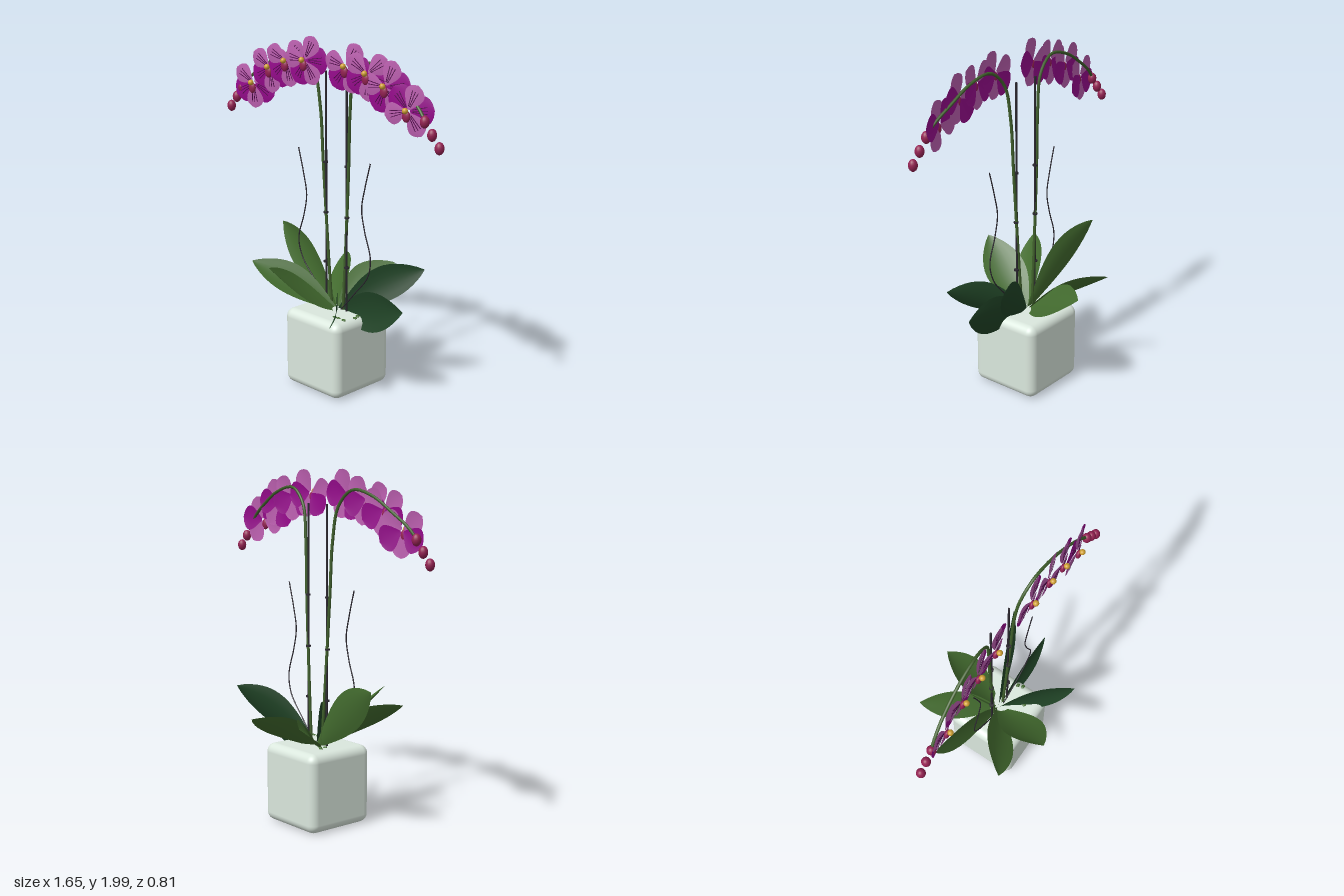
import * as THREE from 'three';
import { RoundedBoxGeometry } from 'three/addons/geometries/RoundedBoxGeometry.js';

const mat = (name, color, double = false) => {
  const m = new THREE.MeshStandardMaterial({ color });
  m.name = name;
  if (double) m.side = THREE.DoubleSide;
  return m;
};
const V = (x, y, z) => new THREE.Vector3(x, y, z);

// Curved blade: rows follow centre(u), spread along side, with edges bent along normal
function bladeGeometry(centre, side, normal, halfWidth, fold, rows = 16, cols = 6) {
  const pos = [], index = [];
  for (let i = 0; i <= rows; i++) {
    const u = i / rows, c = centre(u), w = halfWidth(u);
    for (let j = 0; j <= cols; j++) {
      const v = (j / cols) * 2 - 1;
      const p = c.clone().addScaledVector(side, v * w).addScaledVector(normal, fold * w * v * v);
      pos.push(p.x, p.y, p.z);
      if (i < rows && j < cols) {
        const a = i * (cols + 1) + j, b = a + cols + 1;
        index.push(a, b, a + 1, a + 1, b, b + 1);
      }
    }
  }
  const g = new THREE.BufferGeometry();
  g.setAttribute('position', new THREE.Float32BufferAttribute(pos, 3));
  g.setIndex(index);
  g.computeVertexNormals();
  return g;
}

export function createModel() {
  const root = new THREE.Group();
  root.name = 'pottedOrchid';
  const M = {
    pot: mat('pale celadon', 0xdae7dd),
    leaf: mat('olive green', 0x426a2e, true),
    deepLeaf: mat('deep green', 0x1f4225, true),
    stem: mat('stem green', 0x3f5f2b),
    stake: mat('dark stake', 0x2c2830),
    light: mat('orchid pink', 0xba5eae, true),
    dark: mat('deep purple', 0x960a8c, true),
    vein: mat('vein purple', 0x4f0a4a),
    lip: mat('crimson', 0x952253),
    gold: mat('gold', 0xcfa032),
  };
  const add = (parent, name, geo, material, x = 0, y = 0, z = 0) => {
    const m = new THREE.Mesh(geo, material);
    m.name = name;
    m.position.set(x, y, z);
    parent.add(m);
    return m;
  };
  const tube = (name, pts, radius, material) => add(root, name,
    new THREE.TubeGeometry(new THREE.CatmullRomCurve3(pts.map(p => V(...p))), 60, radius, 8), material);
  const ball = new THREE.SphereGeometry(1, 16, 12);

  // Pot
  add(root, 'pot', new RoundedBoxGeometry(0.43, 0.45, 0.43, 5, 0.05), M.pot, 0, 0.225, 0.005);

  // Moss tufts on the pot
  [[-0.11, -0.06], [-0.08, -0.04], [-0.1, -0.02], [0.1, 0.12], [0.13, 0.12], [0.17, 0.12], [0.19, 0.05], [0.18, 0.02]]
    .forEach(([x, z]) => add(root, 'moss', ball, M.leaf, x, 0.45, z).scale.set(0.014, 0.006, 0.01));

  // Leaves: tip x, y, z, half width, roll in degrees, arch, material
  const up = V(0, 1, 0), base = V(0, 0.43, 0);
  [
    [0.06, 0.64, -0.41, 0.12, -30, 0.01, M.leaf],
    [-0.29, 0.64, -0.36, 0.085, 45, 0.02, M.leaf],
    [0.47, 0.74, -0.21, 0.095, -80, 0.03, M.deepLeaf],
    [-0.53, 0.84, -0.07, 0.105, 84, 0.03, M.leaf],
    [-0.41, 0.7, 0.28, 0.095, 40, 0.02, M.leaf],
    [-0.13, 0.75, 0.4, 0.115, 20, -0.02, M.leaf],
    [0.32, 0.56, 0.33, 0.095, -78, 0.02, M.deepLeaf],
    [0.5, 0.55, 0, 0.11, -84, 0.0, M.deepLeaf],
  ].forEach(([x, y, z, w, roll, arch, m]) => {
    const tip = V(x, y, z), axis = tip.clone().sub(base).normalize();
    const level = axis.clone().cross(up).normalize(), rise = level.clone().cross(axis);
    const r = roll * Math.PI / 180;
    const side = level.clone().multiplyScalar(Math.cos(r)).addScaledVector(rise, Math.sin(r));
    const normal = side.clone().cross(axis);
    const centre = u => base.clone().lerp(tip, u).addScaledVector(up, arch * Math.sin(Math.PI * u));
    const width = u => 0.008 * (1 - u) + w * Math.pow(Math.max(0, Math.sin(Math.PI * Math.pow(u, 1.2))), 0.85);
    add(root, 'leaf', bladeGeometry(centre, side, normal, width, 0.18), m);
  });

  // Stems, stakes with clips, and thin aerial roots, mirrored
  for (const s of [-1, 1]) {
    tube('flowerStem', [[s * 0.045, 0.44, 0], [s * 0.07, 0.8, 0.005], [s * 0.1, 1.3, 0.012], [s * 0.115, 1.6, 0.018],
      [s * 0.15, 1.79, 0.028], [s * 0.25, 1.88, 0.038], [s * 0.4, 1.855, 0.045], [s * 0.55, 1.77, 0.055],
      [s * 0.65, 1.7, 0.07], [s * 0.705, 1.64, 0.08]], 0.0085, M.stem);
    add(root, 'stake', new THREE.CylinderGeometry(0.006, 0.006, 1.37, 8), M.stake, s * 0.08, 1.115, 0.008);
    for (const y of [0.71, 1.0, 1.29])
      add(root, 'clip', new THREE.CylinderGeometry(0.014, 0.014, 0.01, 10), M.stake, s * 0.083, y, 0.009);
    tube('aerialRoot', [[s * 0.03, 0.44, 0.01], [s * 0.15, 0.57, 0.02], [s * 0.26, 0.7, 0.025], [s * 0.285, 0.81, 0.03],
      [s * 0.24, 0.96, 0.03], [s * 0.217, 1.08, 0.03], [s * 0.24, 1.2, 0.03], [s * 0.28, 1.345, 0.03]], 0.0035, M.stake);
    // Buds at the stem end
    [[0.7, 1.64], [0.75, 1.58], [0.8, 1.52]].forEach(([x, y]) =>
      add(root, 'bud', ball, M.lip, s * x, y, 0.08).scale.set(0.025, 0.033, 0.025));
  }

  // Petal templates, growing along +x
  const petal = (len, w) => bladeGeometry(u => V(0.01 + len * u, 0, 0), V(0, 1, 0), V(0, 0, 1),
    u => 0.006 * (1 - u) + w * Math.pow(Math.max(0, Math.sin(Math.PI * Math.pow(u, 1.5))), 0.66), -0.08, 16, 6);
  const sepalGeo = petal(0.136, 0.055), petalGeo = petal(0.14, 0.07);
  const veinGeo = new THREE.BoxGeometry(0.085, 0.0035, 0.002);

  // Flower: two deep petals beside one pale sepal, two more pale sepals opposite
  function flower(x, y, axisDeg, yaw) {
    const f = new THREE.Group();
    f.name = 'flower';
    f.position.set(x, y, 0.088);
    f.rotation.y = yaw;
    [[0, 0], [62, 1], [-62, 1], [125, 0], [-125, 0]].forEach(([a, deep]) => {
      const p = new THREE.Group();
      p.name = deep ? 'deepPetal' : 'paleSepal';
      p.rotation.set(0, 0.06, (axisDeg + a) * Math.PI / 180, 'ZYX');
      p.position.z = deep ? -0.004 : 0.002;
      add(p, 'petalBlade', deep ? petalGeo : sepalGeo, deep ? M.dark : M.light);
      for (const k of [-1, 0, 1]) {
        const v = add(p, 'vein', veinGeo, M.vein, 0.068, k * 0.012, 0.0015);
        v.rotation.z = k * 0.14;
      }
      f.add(p);
    });
    add(f, 'lip', ball, M.lip, -0.003, -0.026, 0.01).scale.set(0.023, 0.031, 0.014);
    add(f, 'column', ball, M.gold, 0, 0.006, 0.028).scale.setScalar(0.016);
    root.add(f);
  }
  // Centre x, y, turn in the plane, and yaw of each bloom
  [[-0.59, 1.68, 272, 0.22], [-0.447, 1.785, 274, 0.15], [-0.313, 1.835, 282, 0.2], [-0.163, 1.855, 300, 0.12],
    [0.153, 1.855, 290, 0.15], [0.307, 1.835, 272, 0.2], [0.437, 1.785, 303, 0.15], [0.592, 1.68, 68, 0.2]]
    .forEach(p => flower(...p));

  return root;
}
